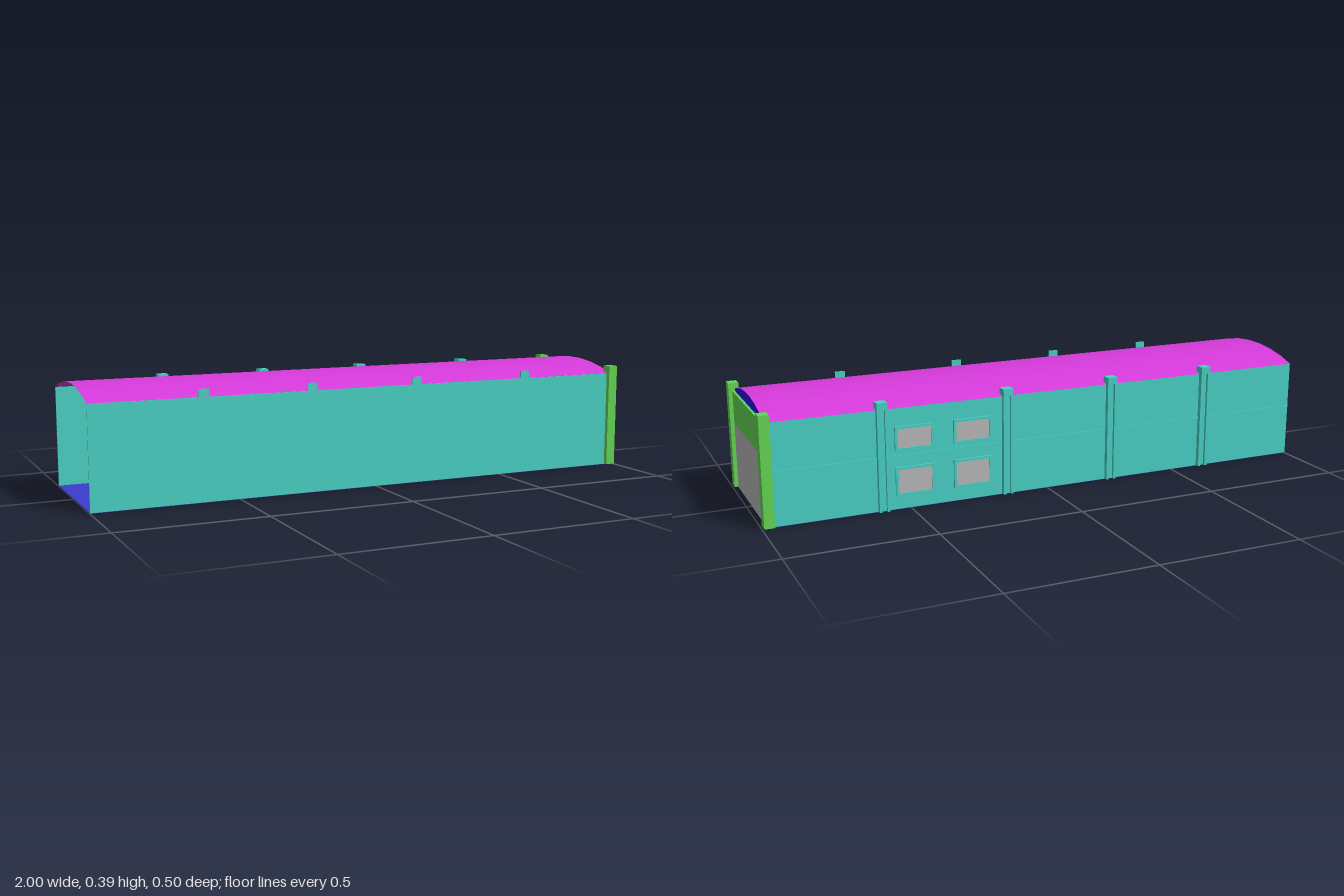
import * as THREE from 'three';

const material = (name, color) => {
  const m = new THREE.MeshStandardMaterial({ color, side: THREE.DoubleSide });
  m.name = name;
  return m;
};

export function createModel() {
  const teal = material('teal', 0x48d1c4);
  const green = material('green', 0x63d653);
  const magenta = material('magenta', 0xd63adb);
  const grey = material('grey', 0xb8b8b8);
  const floorBlue = material('floor blue', 0x3c3ccc);
  const gableBlue = material('gable blue', 0x2810e6);

  const model = new THREE.Group();
  model.name = 'longHall';

  const add = (name, geometry, mat) => {
    const mesh = new THREE.Mesh(geometry, mat);
    mesh.name = name;
    model.add(mesh);
    return mesh;
  };
  // Box given by its minimum and maximum on each axis
  const box = (name, mat, [x0, x1], [y0, y1], [z0, z1]) =>
    add(name, new THREE.BoxGeometry(x1 - x0, y1 - y0, z1 - z0), mat)
      .position.set((x0 + x1) / 2, (y0 + y1) / 2, (z0 + z1) / 2);

  const LENGTH = [-1, 0.975];
  const EAVE = 0.347;

  // Floor and long walls; the -x end stays open
  box('floor', floorBlue, LENGTH, [0, 0.003], [-0.23, 0.23]);
  box('frontWall', teal, LENGTH, [0.002, EAVE], [0.23, 0.234]);
  box('backWall', teal, LENGTH, [0.002, EAVE], [-0.232, -0.228]);
  box('backWallSeam', teal, LENGTH, [0.182, 0.188], [-0.235, -0.231]);

  // Shallow barrel roof
  const radius = 0.71, half = 0.337, segments = 7, centreY = -0.322;
  const roof = add('roof', new THREE.CylinderGeometry(radius, radius, LENGTH[1] - LENGTH[0],
    segments, 1, true, Math.PI / 2 - half, half * 2).rotateZ(Math.PI / 2), magenta);
  roof.position.set((LENGTH[0] + LENGTH[1]) / 2, centreY, 0);

  // Curved gable above the closed end
  const arc = [];
  for (let i = 0; i <= segments; i++) {
    const a = -half + (2 * half * i) / segments;
    arc.push(new THREE.Vector2(radius * Math.sin(a), radius * Math.cos(a) + centreY - 0.001));
  }
  const gable = add('gable', new THREE.ShapeGeometry(new THREE.Shape(arc)), gableBlue);
  gable.rotation.y = Math.PI / 2;
  gable.position.x = 0.973;

  // Closed end: door, lintel and corner posts
  box('endDoor', grey, [0.976, 0.982], [0.001, 0.233], [-0.222, 0.222]);
  box('endLintel', green, [0.976, 0.982], [0.233, EAVE], [-0.222, 0.222]);
  box('frontCornerPost', green, [0.96, 0.995], [0.003, 0.375], [0.212, 0.249]);
  box('backCornerPost', green, [0.96, 0.995], [0.003, 0.375], [-0.244, -0.206]);

  // Channel-shaped pillars on the back wall, with caps, and eave tabs on the front
  for (const x of [-0.622, -0.242, 0.154, 0.597]) {
    const w = 0.018;
    for (const s of [-1, 1]) {
      const c = x + s * 0.0135;
      box('pillarFlange', teal, [c - 0.0045, c + 0.0045], [0.003, 0.355], [-0.248, -0.23]);
    }
    box('pillarWeb', teal, [x - 0.01, x + 0.01], [0.003, 0.355], [-0.238, -0.23]);
    box('pillarCap', teal, [x - w, x + w], [0.35, 0.374], [-0.249, -0.214]);
    box('eaveTab', teal, [x - w, x + w], [0.345, 0.374], [0.23, 0.234]);
  }

  // Framed windows in two rows on the back wall
  for (const x of [0.28, 0.485]) {
    for (const [y0, y1] of [[0.048, 0.147], [0.203, 0.286]]) {
      const w = 0.068, t = 0.009, z = [-0.239, -0.23];
      box('windowSill', teal, [x - w, x + w], [y0, y0 + t], z);
      box('windowHead', teal, [x - w, x + w], [y1 - t, y1], z);
      box('windowJamb', teal, [x - w, x - w + t], [y0, y1], z);
      box('windowJamb', teal, [x + w - t, x + w], [y0, y1], z);
      box('windowPane', grey, [x - w + t, x + w - t], [y0 + t, y1 - t], [-0.236, -0.23]);
    }
  }

  return model;
}
